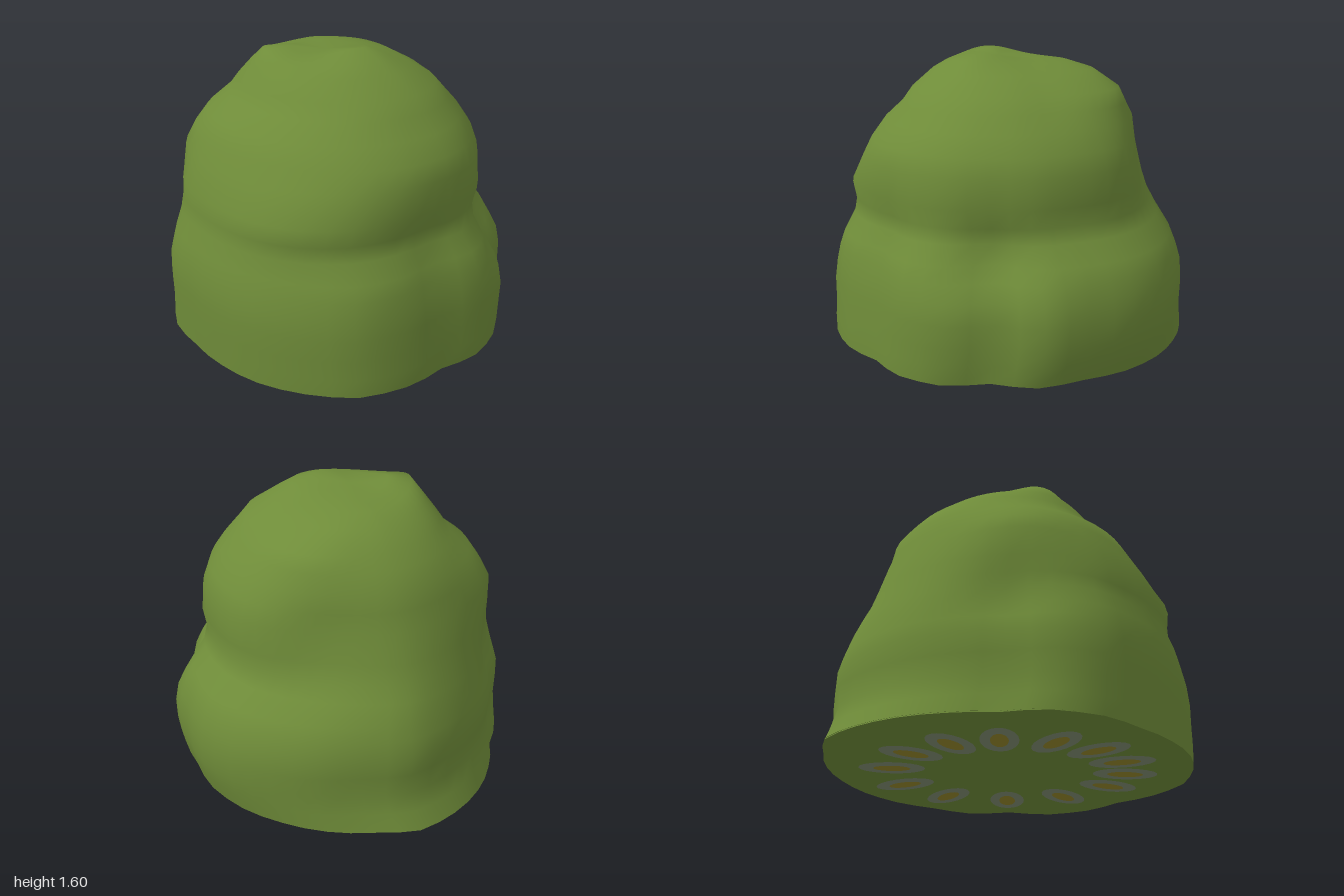
import * as THREE from 'three';

const SEG = 48;

// Height rows: y, reach to -x, +x, -z (back), +z (front)
const ROWS = [
  [0, 0.95, 0.91, 0.99, 0.975], [0.1, 0.955, 0.94, 0.945, 0.975], [0.2, 0.96, 0.96, 0.91, 0.965],
  [0.32, 0.965, 0.965, 0.915, 0.96], [0.43, 0.965, 0.95, 0.92, 0.95], [0.52, 0.95, 0.92, 0.9, 0.94],
  [0.6, 0.935, 0.88, 0.88, 0.92], [0.7, 0.9, 0.79, 0.85, 0.86], [0.78, 0.885, 0.75, 0.82, 0.84],
  [0.88, 0.88, 0.76, 0.79, 0.865], [1.04, 0.82, 0.75, 0.74, 0.85], [1.14, 0.77, 0.71, 0.7, 0.82],
  [1.24, 0.72, 0.655, 0.67, 0.74], [1.33, 0.6, 0.585, 0.6, 0.66], [1.41, 0.55, 0.51, 0.53, 0.6],
  [1.5, 0.49, 0.34, 0.42, 0.47], [1.54, 0.43, 0.2, 0.3, 0.38], [1.56, 0.3, 0.08, 0.15, 0.25],
];

// Footprint radius every 15 degrees, from +x towards the front
const FOOT = [0.97, 0.95, 0.98, 0.92, 0.99, 0.99, 0.95, 1.01, 1.05, 1.03, 1.01, 0.98,
  0.96, 0.98, 0.96, 0.89, 0.91, 0.94, 0.97, 1.0, 0.96, 0.96, 0.96, 0.97];

// Leafy swellings and hollows: angle in degrees, y, angular width, height, amount
const LUMPS = [
  [45, 0.25, 9, 0.3, -0.015], [45, 0.61, 17, 0.13, -0.1], [68, 0.4, 16, 0.2, 0.02],
  [92, 0.6, 12, 0.15, -0.03], [120, 0.5, 20, 0.2, 0.01], [100, 1.05, 28, 0.2, 0.01],
  [137, 0.86, 26, 0.16, 0.06], [20, 1.4, 16, 0.16, -0.05], [325, 1.47, 26, 0.12, 0.13],
  [315, 0.98, 24, 0.24, -0.11], [222, 1.08, 20, 0.14, 0.08], [225, 0.62, 18, 0.14, -0.05],
];

function footRatio(deg) {
  const t = deg / 15, i = Math.floor(t), f = t - i;
  const s = f * f * (3 - 2 * f);
  return (FOOT[i % 24] * (1 - s) + FOOT[(i + 1) % 24] * s) / 0.96;
}

function bushPoint(row, j) {
  const [y, left, right, back, front] = row;
  const deg = (j * 360) / SEG, a = (deg * Math.PI) / 180;
  const c = Math.cos(a), s = Math.sin(a);
  let k = 1 + (footRatio(deg) - 1) * THREE.MathUtils.clamp(1.35 - y * 1.1, 0.15, 1);
  for (const [la, ly, wa, wy, amount] of LUMPS) {
    const d = ((deg - la + 540) % 360) - 180;
    k += amount * Math.exp(-((d / wa) ** 2) - ((y - ly) / wy) ** 2);
  }
  const x = c * (c < 0 ? left : right) * k, z = s * (s < 0 ? back : front) * k;
  // Two small peaks on the crown
  const peak = (px, pz) => Math.exp(-((x - px) ** 2 + (z - pz) ** 2) / 0.03);
  const lift = y > 1.52 ? 0.045 * peak(-0.04, 0.23) + 0.05 * peak(-0.38, -0.08) : 0;
  return [x, y + lift, z];
}

// Loops joined row by row and closed with a point on the crown
function bushGeometry() {
  const pos = [], idx = [];
  for (const row of ROWS) for (let j = 0; j < SEG; j++) pos.push(...bushPoint(row, j));
  pos.push(-0.1, 1.57, 0.06);
  const apex = ROWS.length * SEG;
  for (let i = 0; i < ROWS.length; i++) {
    for (let j = 0; j < SEG; j++) {
      const a = i * SEG + j, b = i * SEG + ((j + 1) % SEG);
      if (i === ROWS.length - 1) idx.push(a, apex, b);
      else idx.push(a, a + SEG, b, b, a + SEG, b + SEG);
    }
  }
  const g = new THREE.BufferGeometry();
  g.setAttribute('position', new THREE.Float32BufferAttribute(pos, 3));
  g.setIndex(idx);
  g.computeVertexNormals();
  return g;
}

export function createModel() {
  const group = new THREE.Group();
  const mat = (name, color) => {
    const m = new THREE.MeshStandardMaterial({ color });
    m.name = name;
    return m;
  };
  const green = mat('leaf green', 0x6f8c39);
  const grey = mat('pale grey green', 0x7f8c70);
  const ochre = mat('ochre', 0x94882a);

  const add = (name, geometry, material, parent) => {
    const mesh = new THREE.Mesh(geometry, material);
    mesh.name = name;
    parent.add(mesh);
    return mesh;
  };

  // Lumpy foliage
  add('foliage', bushGeometry(), green, group);

  // Flat underside
  const outline = [];
  for (let j = 0; j < SEG; j++) {
    const [x, , z] = bushPoint(ROWS[0], j);
    outline.push(new THREE.Vector2(x, z));
  }
  const base = new THREE.ShapeGeometry(new THREE.Shape(outline)).rotateX(Math.PI / 2);
  add('underside', base, green, group).position.y = 0.006;

  // Slightly oval, uneven ring of painted petals under the base
  const ring = new THREE.Group();
  ring.name = 'petalRing';
  ring.rotation.y = Math.PI * 0.75;
  group.add(ring);
  const petal = (name, material, length, width, y, x, z) => {
    const g = new THREE.CircleGeometry(1, 20).scale(length, width, 1).rotateX(Math.PI / 2);
    const mesh = add(name, g, material, ring);
    mesh.position.set(x, y, z);
    mesh.rotation.y = Math.atan2(-z, x);
  };
  for (const deg of [93, 118, 150, 181, 214, 247, 280, 308, 333, 356, 22, 46, 70]) {
    const a = (deg * Math.PI) / 180;
    const x = 0.55 * Math.cos(a) - 0.05, z = -0.64 * Math.sin(a) - 0.03;
    petal('petal', grey, 0.18, 0.1, 0.003, x, z);
    petal('petalCentre', ochre, 0.1, 0.047, 0, x, z);
  }
  return group;
}
